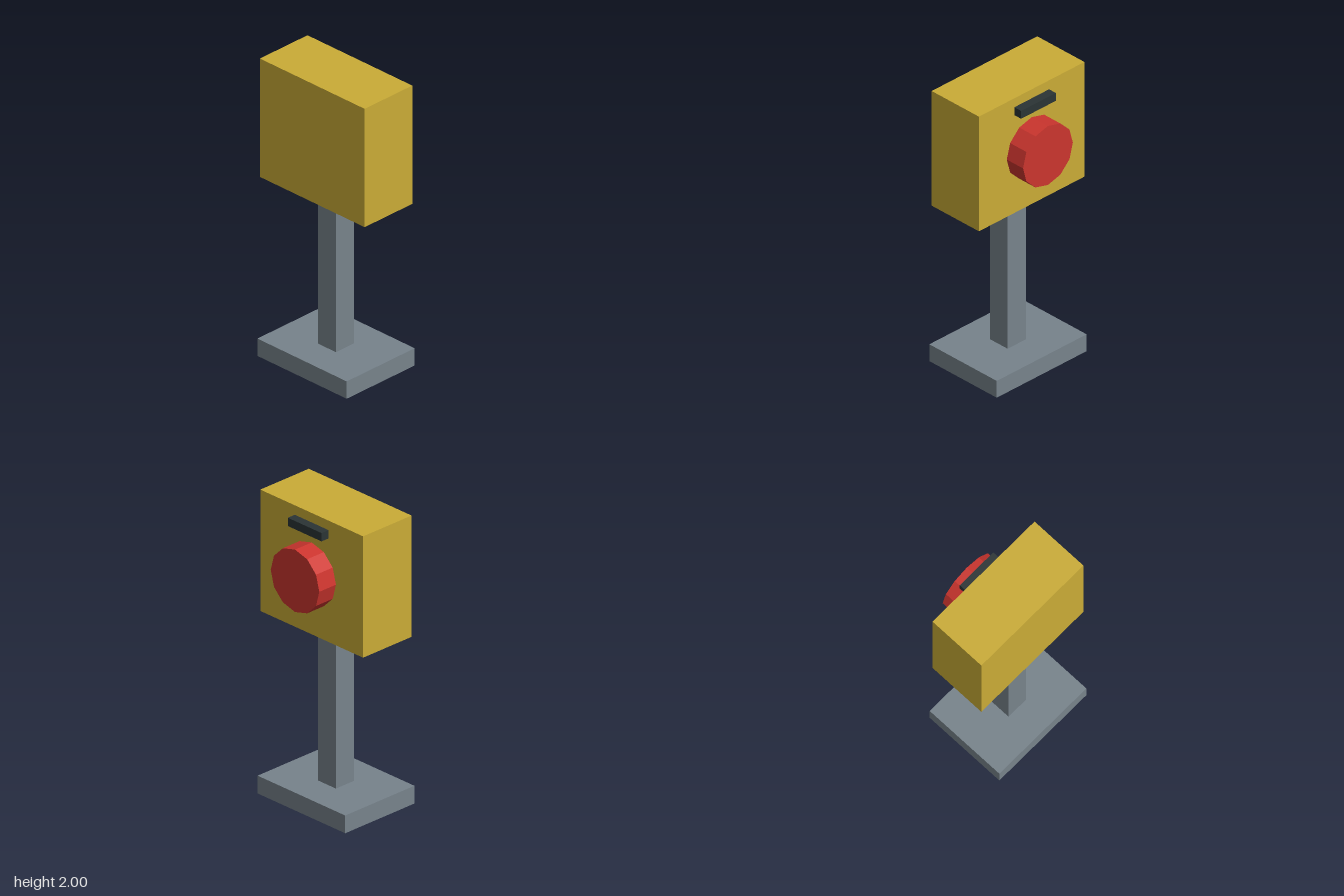
import * as THREE from 'three';

const paint = (name, color) => Object.assign(new THREE.MeshStandardMaterial({ color }), { name });

export function createModel() {
  const grey = paint('steelGrey', 0x77838b);
  const yellow = paint('yellow', 0xcaac36);
  const red = paint('red', 0xcc352e);
  const dark = paint('charcoal', 0x2b3435);
  const model = new THREE.Group();
  model.name = 'pushButtonPost';

  const add = (name, geometry, material, x, y, z) => {
    const mesh = new THREE.Mesh(geometry, material);
    mesh.name = name;
    mesh.position.set(x, y, z);
    model.add(mesh);
  };
  // Box given by its width and its y and z ranges, centred on x
  const block = (name, material, width, [y0, y1], [z0, z1]) =>
    add(name, new THREE.BoxGeometry(width, y1 - y0, z1 - z0), material, 0, (y0 + y1) / 2, (z0 + z1) / 2);

  // Stand
  block('basePlate', grey, 0.762, [0, 0.12], [-0.267, 0.318]);
  block('post', grey, 0.154, [0.12, 1.18], [-0.05, 0.104]);

  // Housing with a dark bar above the button
  block('housing', yellow, 0.894, [1.18, 2], [-0.18, 0.23]);
  block('topBar', dark, 0.294, [1.88, 1.936], [-0.239, -0.18]);

  // Twelve-sided push button on the back, flat faces
  const button = new THREE.CylinderGeometry(0.211, 0.211, 0.141, 12).rotateX(Math.PI / 2).toNonIndexed();
  button.computeVertexNormals();
  add('pushButton', button, red, 0, 1.59, -0.2505);

  return model;
}
